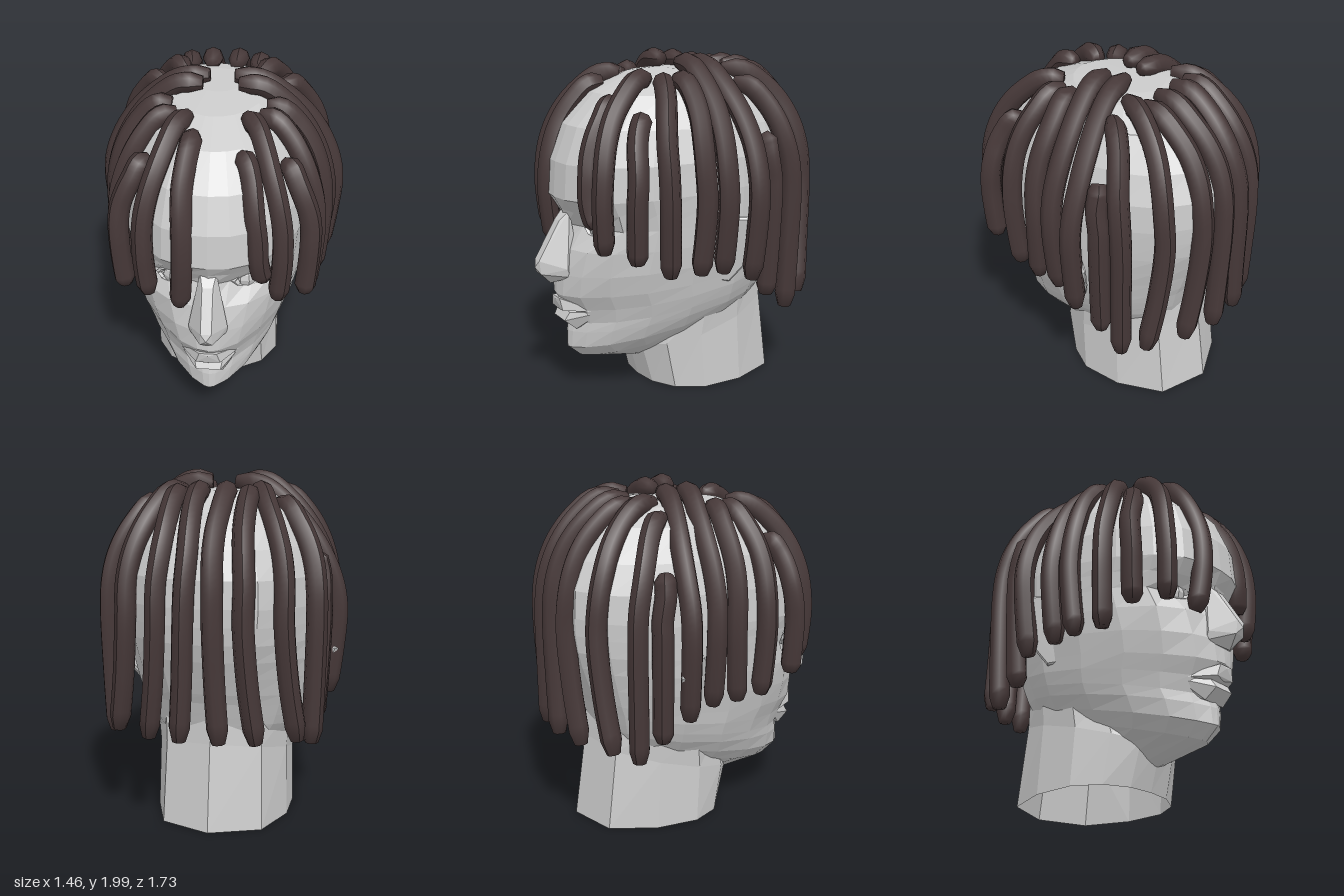
import * as THREE from 'three';
import { ConvexGeometry } from 'three/addons/geometries/ConvexGeometry.js';

const skin = new THREE.MeshStandardMaterial({ color: 0xcccccc, flatShading: true, side: THREE.DoubleSide });
const hairMaterial = new THREE.MeshStandardMaterial({ color: 0x463838 });

// Skin through tilted oval rings: [front y, front z, back y, back z, half width, squareness]
function loft(rings, half, shape = (p) => p) {
  const pos = [], index = [], n = half * 2, zMid = -0.15;
  for (const [yf, zf, yb, zb, w, p] of rings) {
    for (let j = 0; j < n; j++) {
      const side = j <= half ? 1 : -1;
      const u = (side > 0 ? j : n - j) / half;
      const t = Math.PI * Math.pow(u, 1.3);          // denser towards the face
      const c = Math.cos(t);
      const z = zMid + c * (c > 0 ? zf - zMid : zMid - zb);
      const x = side * w * Math.pow(Math.max(Math.sin(t), 0), c > 0 ? p : Math.min(p, 1) * 0.85);
      const y = yf + (yb - yf) * (zf - z) / (zf - zb);
      pos.push(...shape(new THREE.Vector3(x, y, z)));
    }
  }
  for (let i = 0; i < rings.length - 1; i++) {
    for (let j = 0; j < n; j++) {
      const a = i * n + j, b = i * n + (j + 1) % n;
      index.push(a, b, b + n, a, b + n, a + n);
    }
  }
  const g = new THREE.BufferGeometry();
  g.setAttribute('position', new THREE.Float32BufferAttribute(pos, 3));
  g.setIndex(index);
  g.computeVertexNormals();
  return g;
}

const bump = (dx, dy, sx, sy) => Math.exp(-((dx / sx) ** 2) - (dy / sy) ** 2);

// Eye sockets, cheekbones and hollow cheeks pressed into the face
function sculpt(v) {
  if (v.z > 0.1) {
    const x = Math.abs(v.x);
    v.z += -0.07 * bump(x - 0.19, v.y - 1.03, 0.11, 0.08)
      + 0.03 * bump(x - 0.3, v.y - 0.88, 0.12, 0.08)
      - 0.02 * bump(x - 0.3, v.y - 0.62, 0.12, 0.14);
  }
  return v;
}

function hull(name, points) {
  const mesh = new THREE.Mesh(new ConvexGeometry(points.map((p) => new THREE.Vector3(...p))), skin);
  mesh.name = name;
  return mesh;
}

// Same points on both sides of the face
const both = (points) => points.flatMap(([x, y, z]) => (x ? [[x, y, z], [-x, y, z]] : [[x, y, z]]));

function makeEye(side) {
  const eye = new THREE.Group();
  eye.name = side > 0 ? 'leftEye' : 'rightEye';
  const ball = new THREE.Mesh(new THREE.SphereGeometry(0.065, 8, 6), skin);
  ball.name = 'eyeball';
  const lids = new THREE.Mesh(new THREE.TorusGeometry(0.07, 0.014, 4, 8), skin);
  lids.name = 'eyelids';
  lids.scale.set(1.15, 0.6, 1);
  lids.position.z = 0.035;
  eye.add(ball, lids);
  eye.position.set(side * 0.2, 1.03, 0.54);
  eye.rotation.y = side * 0.35;
  return eye;
}

function makeEar(side) {
  const s = new THREE.Shape();
  s.moveTo(0.06, -0.2);
  [[0.08, 0.1], [0.02, 0.19], [-0.08, 0.2], [-0.14, 0.12], [-0.09, -0.05], [0, -0.2]]
    .forEach(([x, y]) => s.lineTo(x, y));
  const g = new THREE.ExtrudeGeometry(s, {
    depth: 0.02, bevelEnabled: true, bevelSegments: 1, bevelSize: 0.01, bevelThickness: 0.01,
  });
  g.translate(0, 0, -0.01);
  const ear = new THREE.Mesh(g, skin);
  ear.name = side > 0 ? 'leftEar' : 'rightEar';
  ear.position.set(side * 0.545, 0.9, -0.13);
  ear.rotation.set(0, -Math.PI / 2 - side * 0.6, -side * 0.22, 'ZYX');
  return ear;
}

// One lock: over the dome from its root to the widest point, then hanging down to its end
function makeLock(name, side, [rx, rz, ox, oz, ex, ez, ey, height, power = 2.2], seed) {
  const outer = Math.hypot(ox, oz), pts = [];
  const f0 = Math.min(Math.hypot(rx, rz) / outer, 0.93);
  for (let i = 0; i <= 6; i++) {
    const s = Math.sin((i / 6) * Math.PI / 2);
    const f = f0 + (1 - f0) * s;
    const y = 1.22 + height * Math.pow(Math.max(1 - Math.pow(f, power), 0), 1 / power);
    const sway = 0.012 * Math.sin(i * 0.9 + seed) * Math.sin((i / 6) * Math.PI);
    pts.push(new THREE.Vector3(
      side * (rx + (ox - rx) * s - sway * oz / outer),
      y - (i === 0 ? 0.045 : 0),
      rz + (oz - rz) * s + sway * ox / outer));
  }
  const wide = pts[6], end = new THREE.Vector3(side * ex, ey, ez);
  const mid = wide.clone().lerp(end, 0.35);
  mid.y = (wide.y + ey) / 2;
  pts.push(mid, end);

  const curve = new THREE.CatmullRomCurve3(pts), rows = 40, sides = 8;
  const g = new THREE.TubeGeometry(curve, rows, 0.06, sides);
  const p = g.attributes.position, v = new THREE.Vector3();
  // blunt, bevelled ends: the first two rows become a flat disc
  for (let i = 0; i <= rows; i++) {
    const edge = Math.min(i, rows - i);
    const k = [0, 0.65][edge] ?? 1;
    const centre = curve.getPointAt(i / rows);
    const target = edge === 1 ? curve.getPointAt(i === 1 ? 0 : 1) : centre;
    for (let j = 0; j <= sides; j++) {
      const id = i * (sides + 1) + j;
      v.fromBufferAttribute(p, id).sub(centre).multiplyScalar(k).add(target);
      p.setXYZ(id, v.x, v.y, v.z);
    }
  }
  g.computeVertexNormals();
  const mesh = new THREE.Mesh(g, hairMaterial);
  mesh.name = name;
  return mesh;
}

export function createModel() {
  const model = new THREE.Group();
  model.name = 'headWithLocks';

  const head = new THREE.Group();
  head.name = 'head';
  head.position.x = -0.02;
  model.add(head);

  const skull = new THREE.Mesh(loft([
    [0.14, 0.23, 0.55, -0.45, 0.26, 1.4],
    [0.21, 0.59, 0.50, -0.55, 0.33, 1.4],
    [0.28, 0.67, 0.56, -0.57, 0.39, 1.35],
    [0.38, 0.665, 0.62, -0.59, 0.44, 1.3],
    [0.44, 0.65, 0.68, -0.61, 0.465, 1.25],
    [0.53, 0.68, 0.74, -0.63, 0.49, 1.2],
    [0.62, 0.735, 0.80, -0.66, 0.505, 1.15],
    [0.75, 0.73, 0.90, -0.70, 0.53, 1.05],
    [0.90, 0.69, 1.00, -0.74, 0.55, 0.95],
    [1.03, 0.66, 1.10, -0.77, 0.56, 0.87],
    [1.12, 0.69, 1.20, -0.785, 0.565, 0.85],
    [1.20, 0.735, 1.30, -0.79, 0.57, 0.83],
    [1.40, 0.72, 1.45, -0.78, 0.56, 0.83],
    [1.60, 0.64, 1.60, -0.71, 0.51, 0.85],
    [1.77, 0.47, 1.78, -0.58, 0.42, 0.9],
    [1.86, 0.25, 1.87, -0.4, 0.29, 1],
    [1.885, 0, 1.885, -0.3, 0.15, 1],
    [1.885, -0.149, 1.885, -0.151, 0.001, 1],
  ], 10, sculpt), skin);
  skull.name = 'skullAndFace';

  // open underneath
  const neck = new THREE.Mesh(loft([
    [0, 0.2, 0, -0.68, 0.4, 0.8],
    [0.25, 0.27, 0.5, -0.61, 0.39, 0.85],
    [0.45, 0.2, 0.75, -0.59, 0.41, 0.9],
  ], 6), skin);
  neck.name = 'neck';

  head.add(skull, neck,
    hull('nose', both([
      [0.045, 1.12, 0.66], [0.03, 1.06, 0.72], [0.06, 0.95, 0.64], [0.03, 0.84, 0.85],
      [0, 0.8, 0.865], [0.035, 0.76, 0.84], [0.11, 0.79, 0.71], [0.11, 0.74, 0.69], [0, 0.69, 0.77],
    ])),
    hull('upperLip', both([
      [0.2, 0.53, 0.55], [0.05, 0.605, 0.74], [0, 0.59, 0.745], [0.07, 0.535, 0.73], [0, 0.52, 0.72], [0.1, 0.55, 0.58],
    ])),
    hull('lowerLip', both([
      [0.19, 0.525, 0.55], [0.08, 0.52, 0.69], [0.07, 0.47, 0.72], [0.08, 0.41, 0.65], [0.1, 0.45, 0.56],
    ])));
  for (const side of [1, -1]) head.add(makeEye(side), makeEar(side));

  // Mirrored locks: root x z, widest x z, end x z y, dome height, dome roundness
  const pairs = [
    [0.07, -0.13, 0.67, -0.2, 0.62, -0.19, 0.74, 0.775, 1.8],
    [0.1, -0.02, 0.62, -0.03, 0.57, -0.03, 0.79, 0.765, 1.9],
    [0.26, 0.09, 0.6, 0.1, 0.57, 0.12, 0.8, 0.74],
    [0.23, 0.18, 0.56, 0.31, 0.53, 0.29, 0.8, 0.73],
    [0.16, 0.23, 0.38, 0.63, 0.36, 0.61, 0.94, 0.72],
    [0.37, 0.37, 0.53, 0.5, 0.51, 0.49, 0.9, 0.65],
    [0.07, -0.34, 0.08, -0.8, 0.11, -0.79, 0.57, 0.765, 2.3],
    [0.19, -0.34, 0.24, -0.77, 0.3, -0.72, 0.56, 0.765, 2.3],
    [0.21, -0.24, 0.44, -0.66, 0.51, -0.6, 0.56, 0.75, 2.3],
    [0.34, -0.24, 0.59, -0.48, 0.57, -0.47, 0.51, 0.74],
    [0.54, -0.3, 0.6, -0.34, 0.57, -0.33, 0.61, 0.75],
  ];
  const hair = new THREE.Group();
  hair.name = 'hair';
  pairs.forEach((row, i) => {
    hair.add(makeLock('leftLock' + (i + 1), 1, row, i + 1));
    hair.add(makeLock('rightLock' + (i + 1), -1, row, i + 1.6));
  });
  // uneven front pair
  hair.add(makeLock('rightFringeLock', -1, [0.12, 0.37, 0.16, 0.71, 0.18, 0.67, 0.91, 0.73], 2));
  hair.add(makeLock('leftFringeLock', 1, [0.14, 0.43, 0.25, 0.65, 0.28, 0.62, 1.07, 0.69], 4));
  model.add(hair);
  return model;
}
